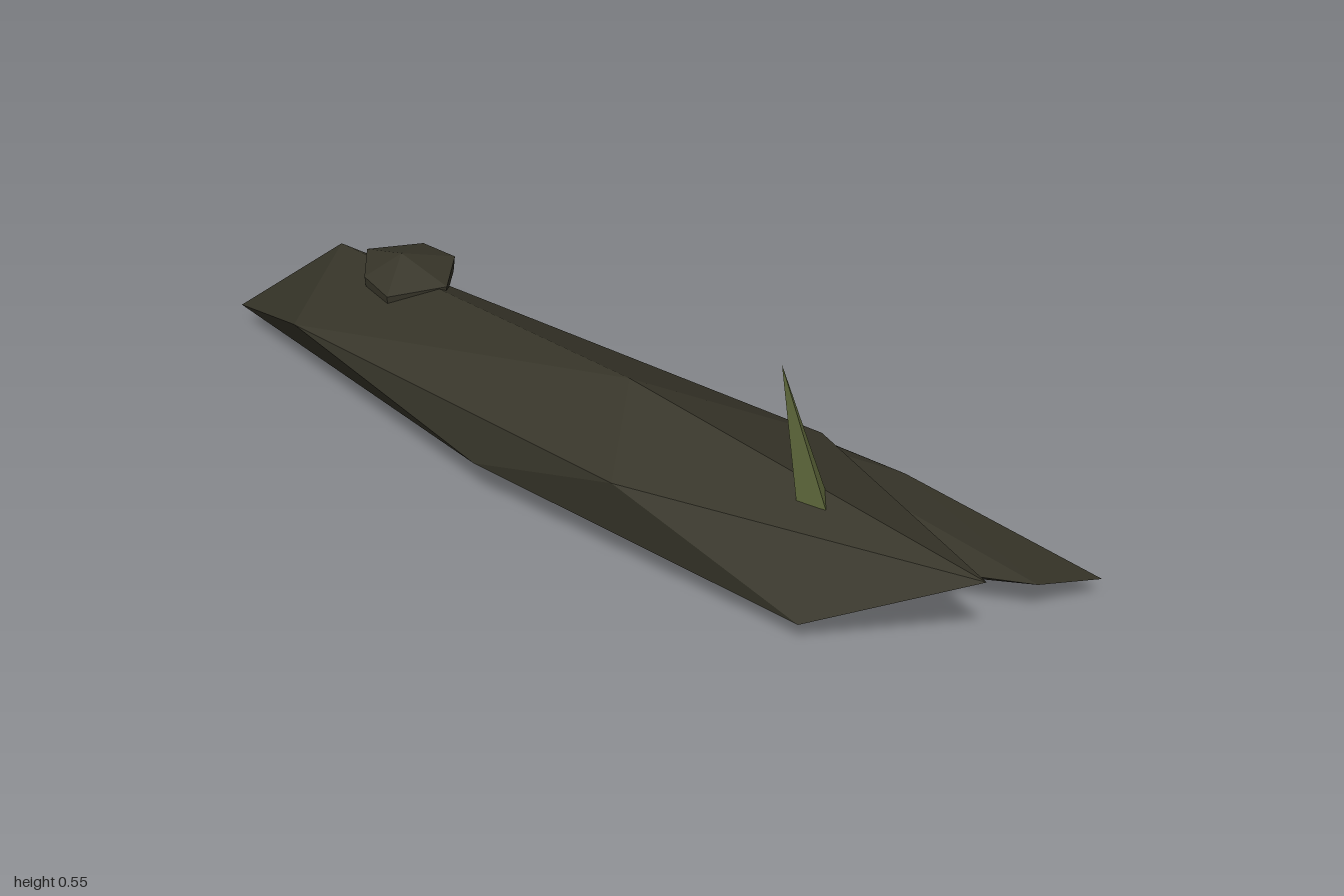
import * as THREE from 'three';
import { ConvexGeometry } from 'three/addons/geometries/ConvexGeometry.js';

const barkMat = new THREE.MeshStandardMaterial({ name: 'dark slate', color: 0x38362a, flatShading: true });
const leafMat = new THREE.MeshStandardMaterial({ name: 'moss green', color: 0x667040, flatShading: true });

// Faceted chunk: the hull around a few corner points
function chunk(name, corners, material) {
  const mesh = new THREE.Mesh(new ConvexGeometry(corners.map((c) => new THREE.Vector3(...c))), material);
  mesh.name = name;
  return mesh;
}

export function createModel() {
  const group = new THREE.Group();
  group.name = 'rockShelf';

  // Large upper slab, pointed at both ends
  group.add(chunk('upperSlab', [
    [-1, 0.065, 0.13], [-0.84, 0.21, -0.04], [-0.67, 0.2, 0.26],
    [0.1, 0.29, 0.068], [0.24, 0.217, 0.285], [-0.12, 0.105, 0.29],
    [0.65, 0.06, 0.235], [0.95, 0.223, 0.09], [0.41, 0.184, -0.155],
    [0.2, 0.147, -0.143], [0.05, 0.027, 0.075], [0.05, 0.05, -0.11],
  ], barkMat));

  // Lower slab tucked under the back
  group.add(chunk('lowerSlab', [
    [-0.5, 0.056, -0.1], [-0.44, 0.11, -0.18], [0.08, 0.05, -0.29],
    [0.55, 0.1, -0.25], [1, 0.058, -0.255], [0.945, 0.1, -0.11],
    [0.45, 0, -0.11], [0.7, 0.1, 0.02], [0.5, 0.06, 0.07],
    [0.5, 0.03, 0.05], [0.3, 0.15, -0.13],
  ], barkMat));

  // Small pebble lying on the left end
  const rim = [[-0.735, -0.02], [-0.66, -0.12], [-0.565, -0.122], [-0.485, -0.015], [-0.55, 0.1], [-0.65, 0.07]];
  const pebble = [[-0.61, 0.283, -0.005], [-0.61, 0.17, 0]];
  for (const [x, z] of rim) {
    pebble.push([x, 0.242, z], [-0.61 + (x + 0.61) * 0.95, 0.205, z * 0.97]);
  }
  group.add(chunk('pebble', pebble, barkMat));

  // Thin leaning blade of grass
  group.add(chunk('grassBlade', [
    [0.545, 0.553, 0.176], [0.557, 0.235, 0.128], [0.617, 0.24, 0.118], [0.585, 0.245, 0.075],
  ], leafMat));

  return group;
}
